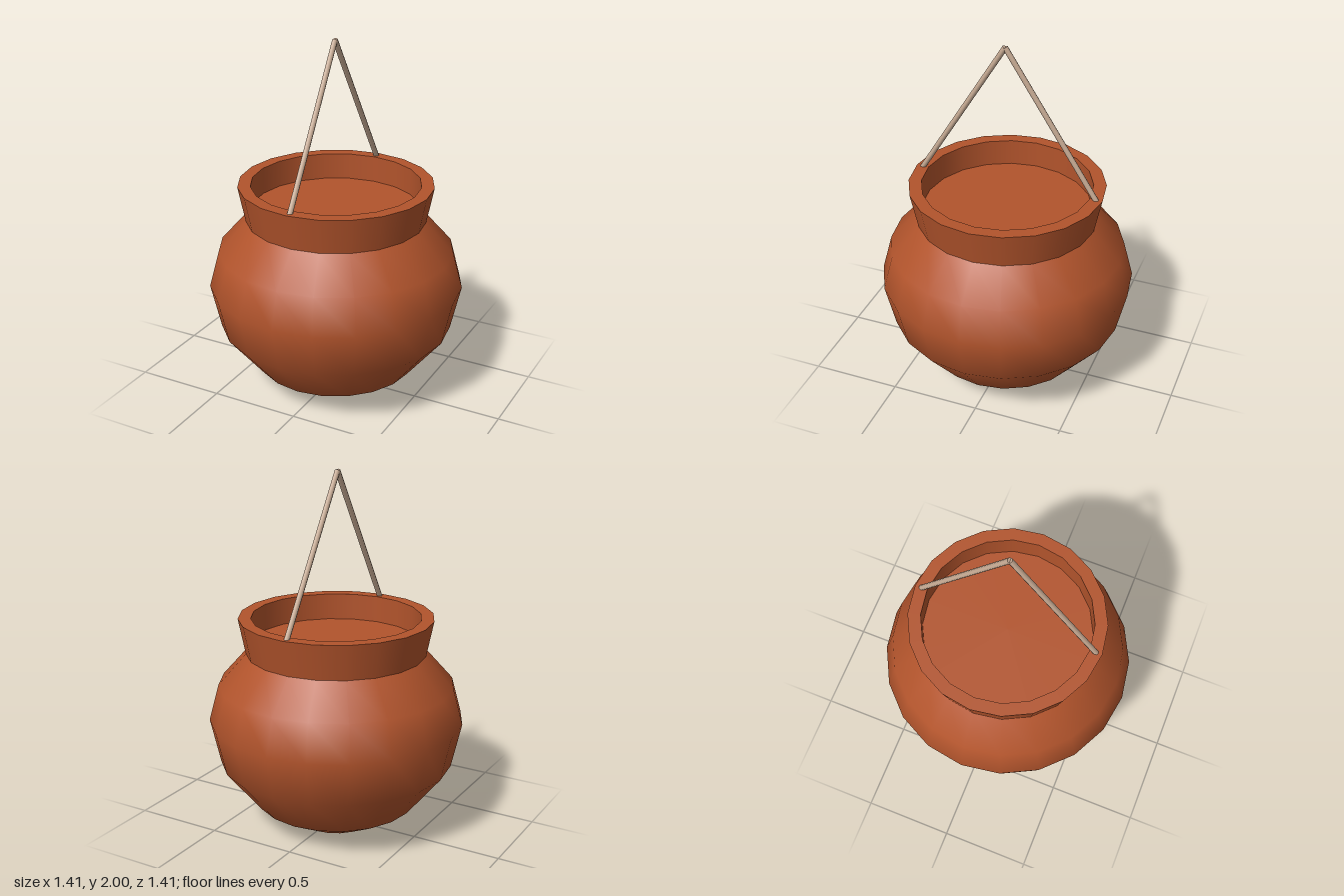
import * as THREE from 'three';

const SIDES = 20;

export function createModel() {
  const group = new THREE.Group();
  const clay = new THREE.MeshStandardMaterial({ color: 0xb2542c });
  clay.name = 'terracotta';
  const wood = new THREE.MeshStandardMaterial({ color: 0xc6aa93 });
  wood.name = 'paleHandle';

  // Each turned section is separate, so the edges between them stay sharp
  const turned = (name, profile) => {
    const points = profile.map(([r, y]) => new THREE.Vector2(r, y));
    const mesh = new THREE.Mesh(new THREE.LatheGeometry(points, SIDES), clay);
    mesh.name = name;
    group.add(mesh);
  };

  turned('potBody', [
    [0, 0], [0.215, 0], [0.45, 0.13], [0.648, 0.375],
    [0.704, 0.625], [0.65, 0.825], [0.495, 1.0],
  ]);
  turned('neckOutside', [[0.495, 1.0], [0.535, 1.2]]);
  turned('rim', [[0.535, 1.2], [0.465, 1.2]]);
  turned('neckInside', [[0.465, 1.2], [0.465, 1.05]]);
  turned('innerFloor', [[0.465, 1.05], [0, 1.05]]);

  // Two straight rods meeting above the opening
  const apex = new THREE.Vector3(0, 1.987, 0.012);
  for (const side of [1, -1]) {
    const foot = new THREE.Vector3(0, 1.19, side * 0.503);
    const dir = apex.clone().sub(foot);
    const rod = new THREE.Mesh(
      new THREE.CylinderGeometry(0.015, 0.015, dir.length(), 8), wood);
    rod.name = side > 0 ? 'frontHandleRod' : 'backHandleRod';
    rod.position.copy(foot).add(apex).multiplyScalar(0.5);
    rod.quaternion.setFromUnitVectors(new THREE.Vector3(0, 1, 0), dir.normalize());
    group.add(rod);
  }
  return group;
}
